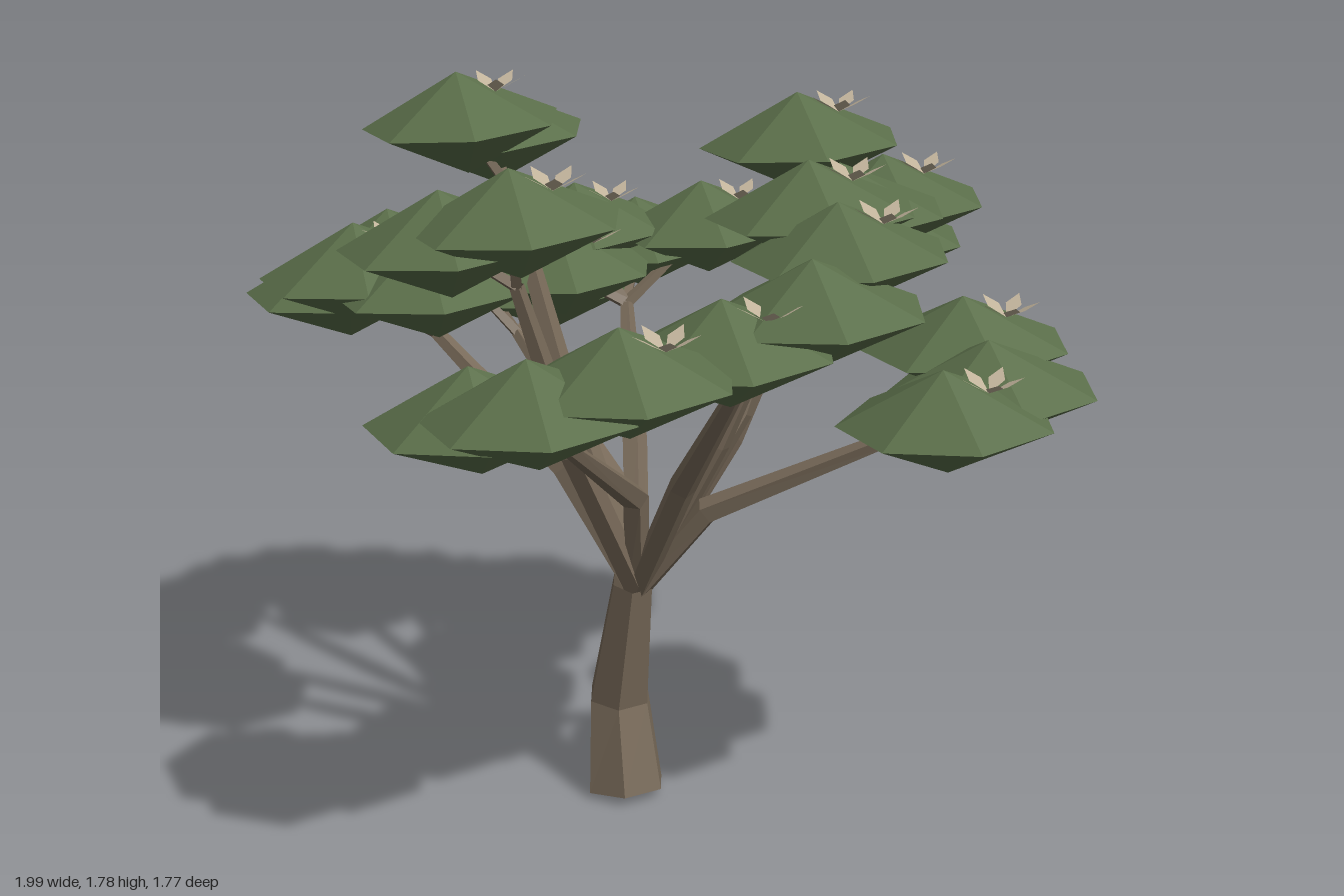
import * as THREE from 'three';

const mat = (name, color, extra = {}) => {
  const m = new THREE.MeshStandardMaterial({ color, flatShading: true, ...extra });
  m.name = name;
  return m;
};

// Leaf pad tops carried by each branch; the first `blossoms` pads bear a flower.
// `bend` is how far out along its reach the limb has its knee.
const BRANCHES = [
  { bend: 0.25, blossoms: 2, pads: [[0.725, 1.235, -0.04], [0.635, 1.31, -0.36], [0.755, 1.26, -0.22]] },
  { bend: 0.5, blossoms: 2, pads: [[0.355, 1.635, -0.12], [0.485, 1.58, 0], [0.355, 1.6, -0.28]] },
  { bend: 0.4, blossoms: 1, pads: [[0.38, 1.43, 0.32], [0.515, 1.5, 0.18]] },
  { bend: 0.15, blossoms: 1, pads: [[0.28, 1.415, 0.56], [-0.025, 1.31, 0.645], [0.14, 1.36, 0.68]] },
  { bend: 0.6, blossoms: 1, pads: [[-0.055, 1.675, 0.44], [-0.22, 1.615, 0.46]] },
  { bend: 0.4, blossoms: 2, pads: [[-0.56, 1.475, 0.32], [-0.36, 1.47, 0.32], [-0.69, 1.4, 0.22], [-0.67, 1.44, 0.05]] },
  { bend: 0.6, blossoms: 1, pads: [[-0.465, 1.78, 0.04], [-0.5, 1.725, -0.12]] },
  { bend: 0.25, blossoms: 1, pads: [[-0.775, 1.36, -0.29], [-0.765, 1.28, -0.43], [-0.61, 1.24, -0.53]] },
  { bend: 0.6, blossoms: 3, pads: [[-0.44, 1.44, -0.42], [-0.4, 1.37, -0.27], [-0.155, 1.45, -0.56], [-0.34, 1.39, -0.55]] },
  { bend: 0.55, blossoms: 1, pads: [[0.055, 1.47, -0.68], [0.24, 1.435, -0.68]] },
  { bend: 0.6, blossoms: 2, pads: [[0.185, 1.725, -0.4], [0.34, 1.57, -0.55]] },
];

// Open low-poly limb: rings of vertices around a bent path
function limbGeometry(points, radii, sides) {
  const pos = [], index = [], n = points.length;
  points.forEach((p, i) => {
    const dir = points[Math.min(i + 1, n - 1)].clone().sub(points[Math.max(i - 1, 0)]).normalize();
    const u = new THREE.Vector3(0, 0, 1).cross(dir);
    if (u.lengthSq() < 0.02) u.set(1, 0, 0);
    u.normalize();
    const v = dir.clone().cross(u);
    for (let s = 0; s < sides; s++) {
      const a = (s / sides) * Math.PI * 2;
      const q = p.clone().addScaledVector(u, Math.cos(a) * radii[i]).addScaledVector(v, Math.sin(a) * radii[i]);
      pos.push(q.x, q.y, q.z);
    }
  });
  for (let i = 0; i < n - 1; i++) {
    for (let s = 0; s < sides; s++) {
      const a = i * sides + s, b = i * sides + (s + 1) % sides;
      index.push(a, b, b + sides, a, b + sides, a + sides);
    }
  }
  const g = new THREE.BufferGeometry();
  g.setAttribute('position', new THREE.Float32BufferAttribute(pos, 3));
  g.setIndex(index);
  g.computeVertexNormals();
  return g;
}

// Five flat, pointed petals rising from the centre
function blossomGeometry() {
  const pos = [], index = [];
  for (let i = 0; i < 5; i++) {
    const a = -Math.PI / 2 + (i / 5) * Math.PI * 2;
    const put = (r, w, y) => pos.push(Math.cos(a) * r - Math.sin(a) * w, y, Math.sin(a) * r + Math.cos(a) * w);
    put(0, 0, 0);
    put(0.04, 0.019, 0.022);
    put(0.072, 0, 0.0396);
    put(0.04, -0.019, 0.022);
    const k = i * 4;
    index.push(k, k + 1, k + 2, k, k + 2, k + 3);
  }
  const g = new THREE.BufferGeometry();
  g.setAttribute('position', new THREE.Float32BufferAttribute(pos, 3));
  g.setIndex(index);
  g.computeVertexNormals();
  return g;
}

export function createModel() {
  const tree = new THREE.Group();
  tree.name = 'tree';
  const bark = mat('bark brown', 0x786a59, { side: THREE.DoubleSide });
  const leaf = mat('leaf green', 0x5b6f4a);
  const petal = mat('petal beige', 0xc0b29a, { side: THREE.DoubleSide });
  const V = (x, y, z) => new THREE.Vector3(x, y, z);
  const add = (parent, name, geometry, material) => {
    const m = new THREE.Mesh(geometry, material);
    m.name = name;
    parent.add(m);
    return m;
  };

  // Bent trunk with a slightly slanted, open foot
  add(tree, 'trunk', limbGeometry(
    [V(-0.08, 0.016, -0.04), V(-0.11, 0.25, -0.06), V(-0.04, 0.59, -0.01)],
    [0.102, 0.08, 0.053], 6), bark);

  // Flattened seven-sided double cone, tilted a little
  const padGeo = new THREE.SphereGeometry(1, 7, 2);
  padGeo.rotateY(Math.PI).scale(0.245, 0.118, 0.213).rotateZ(0.07).rotateX(0.07);
  const blossomGeo = blossomGeometry();
  const fork = V(-0.03, 0.57, -0.01);

  BRANCHES.forEach(({ bend, blossoms, pads }) => {
    const branch = new THREE.Group();
    branch.name = 'branch';
    tree.add(branch);
    const centres = pads.map(([x, y, z]) => V(x, y - 0.12, z));

    // The limb ends inward of and below its pads
    const tip = V(0, 0, 0);
    centres.forEach((c) => tip.addScaledVector(c, 1 / centres.length));
    tip.multiply(V(0.8, 1, 0.8)).y -= 0.13;
    const knee = V(tip.x * bend, (fork.y + tip.y) / 2, tip.z * bend);
    add(branch, 'limb', limbGeometry([fork, knee, tip], [0.032, 0.033, 0.018], 5), bark);

    centres.forEach((c, i) => {
      add(branch, 'twig', limbGeometry([tip, c], [0.016, 0.009], 4), bark);
      add(branch, 'leafPad', padGeo, leaf).position.copy(c);
      if (i < blossoms) add(branch, 'blossom', blossomGeo, petal).position.set(c.x + 0.095, c.y + 0.08, c.z);
    });
  });

  return tree;
}
